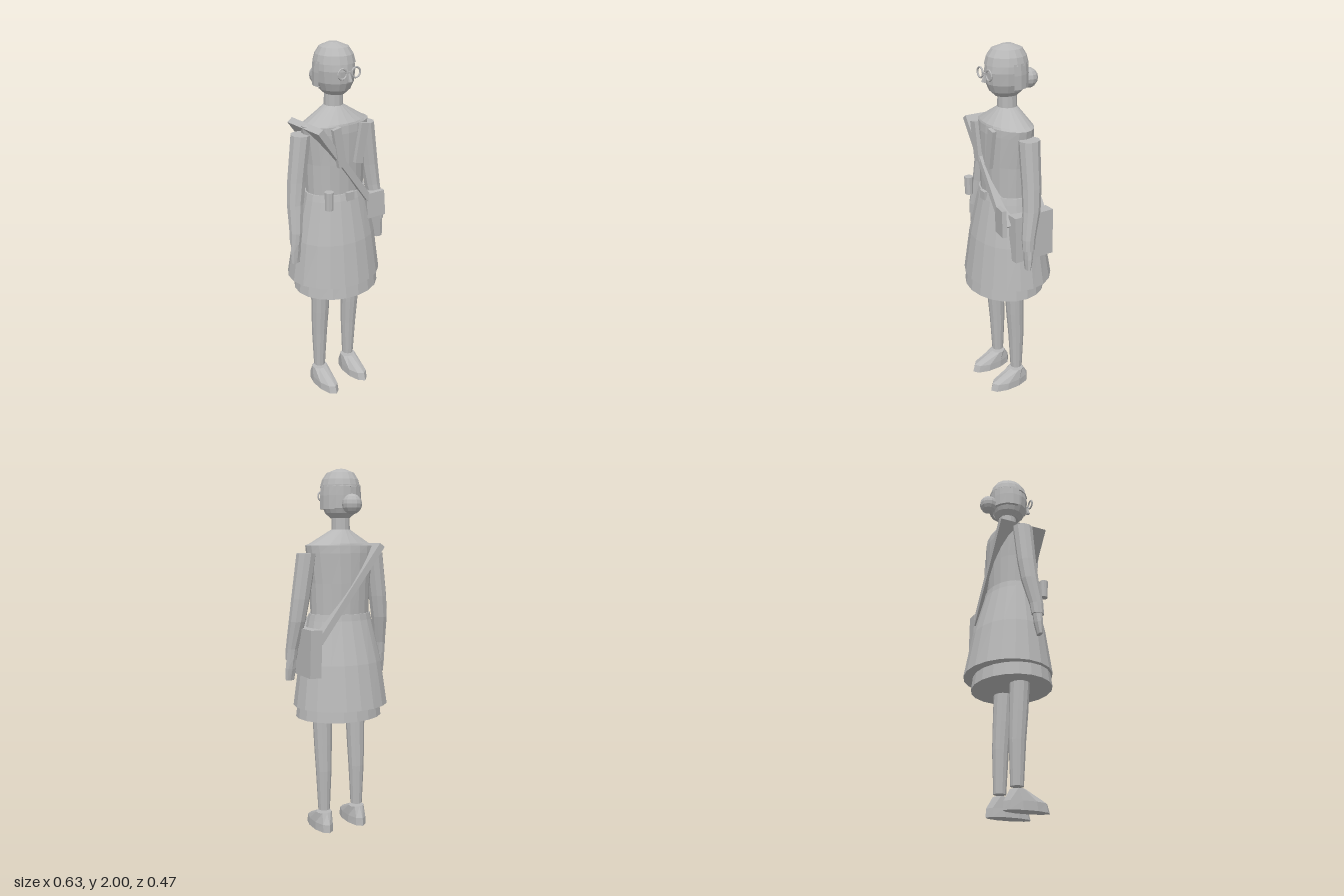
import * as THREE from 'three';

const clay = new THREE.MeshStandardMaterial({ color: 0xb8b8b8, flatShading: true, side: THREE.DoubleSide });
clay.name = 'clay grey';

// Skin through elliptical rings [y, centreX, centreZ, radiusX, radiusZ], listed bottom to top
function loft(rings, segs, start = 0, arc = Math.PI * 2) {
  const pos = [], idx = [], n = segs + 1;
  for (const [y, cx, cz, rx, rz] of rings) {
    for (let j = 0; j <= segs; j++) {
      const a = start + (arc * j) / segs;
      pos.push(cx + rx * Math.sin(a), y, cz + rz * Math.cos(a));
    }
  }
  for (let i = 0; i < rings.length - 1; i++) {
    for (let j = 0; j < segs; j++) {
      const a = i * n + j, b = a + 1, c = a + n, d = c + 1;
      idx.push(a, b, d, a, d, c);
    }
  }
  // End caps on closed shapes
  if (arc > 6.28) {
    const top = (rings.length - 1) * n, mid = rings.length * n;
    for (const r of [rings[0], rings[rings.length - 1]]) pos.push(r[1], r[0], r[2]);
    for (let j = 0; j < segs; j++) {
      idx.push(mid, j + 1, j, mid + 1, top + j, top + j + 1);
    }
  }
  const g = new THREE.BufferGeometry();
  g.setAttribute('position', new THREE.Float32BufferAttribute(pos, 3));
  g.setIndex(idx);
  g.computeVertexNormals();
  return g;
}

export function createModel() {
  const model = new THREE.Group();
  model.name = 'woman';

  function add(name, geometry, p = [0, 0, 0], r = [0, 0, 0]) {
    const m = new THREE.Mesh(geometry, clay);
    m.name = name;
    m.position.set(...p);
    m.rotation.set(...r);
    model.add(m);
    return m;
  }
  const box = (w, h, d) => new THREE.BoxGeometry(w, h, d);

  // Coat and underskirt
  add('underskirt', loft([
    [0.66, 0, 0.022, 0.247, 0.213],
    [0.76, 0, 0.022, 0.235, 0.2],
  ], 20));
  add('coatSkirt', loft([
    [0.73, 0, 0, 0.27, 0.235],
    [0.97, 0, 0.005, 0.237, 0.195],
    [1.2, 0, 0.012, 0.186, 0.138],
    [1.235, 0, 0.01, 0.178, 0.13],
  ], 20));
  add('coatBody', loft([
    [1.2, 0, 0.01, 0.168, 0.122],
    [1.4, 0, 0.01, 0.175, 0.125],
    [1.56, 0, 0.01, 0.194, 0.123],
    [1.6, 0, 0.01, 0.2, 0.118],
    [1.61, 0, 0.01, 0.175, 0.115],
    [1.685, 0, 0, 0.05, 0.052],
  ], 20));
  add('buckle', box(0.046, 0.046, 0.02), [0, 1.222, 0.147]);

  // Limbs, shoes and lapels, mirrored
  for (const s of [1, -1]) {
    const side = s > 0 ? 'left' : 'right';
    add(side + 'Arm', loft([
      [0.99, s * 0.282, 0.045, 0.03, 0.034],
      [1.05, s * 0.276, 0.042, 0.034, 0.038],
      [1.2, s * 0.257, 0.014, 0.045, 0.048],
      [1.32, s * 0.24, 0.005, 0.05, 0.052],
      [1.56, s * 0.205, 0, 0.053, 0.057],
    ], 10));
    add(side + 'Hand', loft([
      [0.875, s * 0.286, 0.052, 0.025, 0.012],
      [0.94, s * 0.282, 0.047, 0.031, 0.022],
      [1.0, s * 0.28, 0.045, 0.027, 0.028],
    ], 8));
    add(side + 'Leg', loft([
      [0.12, s * 0.105, 0.003, 0.033, 0.034],
      [0.35, s * 0.105, 0.006, 0.044, 0.045],
      [0.5, s * 0.105, 0.014, 0.05, 0.05],
      [0.68, s * 0.105, 0.022, 0.056, 0.053],
    ], 12));
    add(side + 'Shoe', loft([
      [0, s * 0.107, 0.053, 0.052, 0.127],
      [0.045, s * 0.107, 0.048, 0.052, 0.119],
      [0.105, s * 0.105, 0.004, 0.045, 0.04],
    ], 10));
    add(side + 'Lapel', box(0.048, 0.21, 0.022), [s * 0.071, 1.5, 0.145], [0, 0, -s * 0.18]);
    // Spectacles
    add(side + 'Lens rim', new THREE.TorusGeometry(0.026, 0.005, 6, 14), [s * 0.042, 1.865, 0.132]);
  }
  add('spectacle bridge', box(0.032, 0.008, 0.008), [0, 1.868, 0.132]);

  // Head, hair and nose
  add('neck', loft([
    [1.67, 0, 0, 0.05, 0.052],
    [1.78, 0, 0, 0.047, 0.05],
  ], 12));
  add('head', loft([
    [1.745, 0, 0.005, 0.05, 0.062],
    [1.77, 0, 0.007, 0.078, 0.088],
    [1.81, 0, 0.007, 0.096, 0.106],
    [1.87, 0, 0.007, 0.102, 0.114],
    [1.93, 0, 0.007, 0.096, 0.105],
    [1.97, 0, 0.007, 0.07, 0.08],
  ], 16));
  add('nose', new THREE.CylinderGeometry(0.006, 0.013, 0.045, 4), [0, 1.845, 0.132], [-0.25, Math.PI / 4, 0]);
  add('hairCap', loft([
    [1.905, 0, 0.005, 0.107, 0.115],
    [1.945, 0, 0.005, 0.096, 0.104],
    [1.98, 0, 0.003, 0.073, 0.08],
    [1.997, 0, 0, 0.03, 0.035],
    [2.0, 0, 0, 0.024, 0.03],
  ], 16));
  add('backHair', loft([
    [1.79, 0, 0, 0.095, 0.09],
    [1.79, 0, 0.005, 0.112, 0.113],
    [1.86, 0, 0.005, 0.112, 0.114],
    [1.915, 0, 0.005, 0.106, 0.113],
  ], 10, Math.PI * 0.44, Math.PI * 1.12));
  add('hairBun', new THREE.SphereGeometry(0.053, 12, 8), [0, 1.814, -0.125]);

  // Shoulder strap, satchel, front pouch and torch
  add('strap', box(0.036, 0.63, 0.28), [0.002, 1.35, 0.01], [0, 0, 0.64]);
  add('satchel', box(0.066, 0.255, 0.235), [0.216, 1.036, -0.014], [0, 0, 0.03]);
  add('frontPouch', box(0.108, 0.145, 0.025), [0.173, 1.134, 0.147], [0, -0.2, 0.08]);
  add('torch', new THREE.CylinderGeometry(0.025, 0.022, 0.1, 10), [-0.142, 1.23, 0.157]);
  return model;
}
